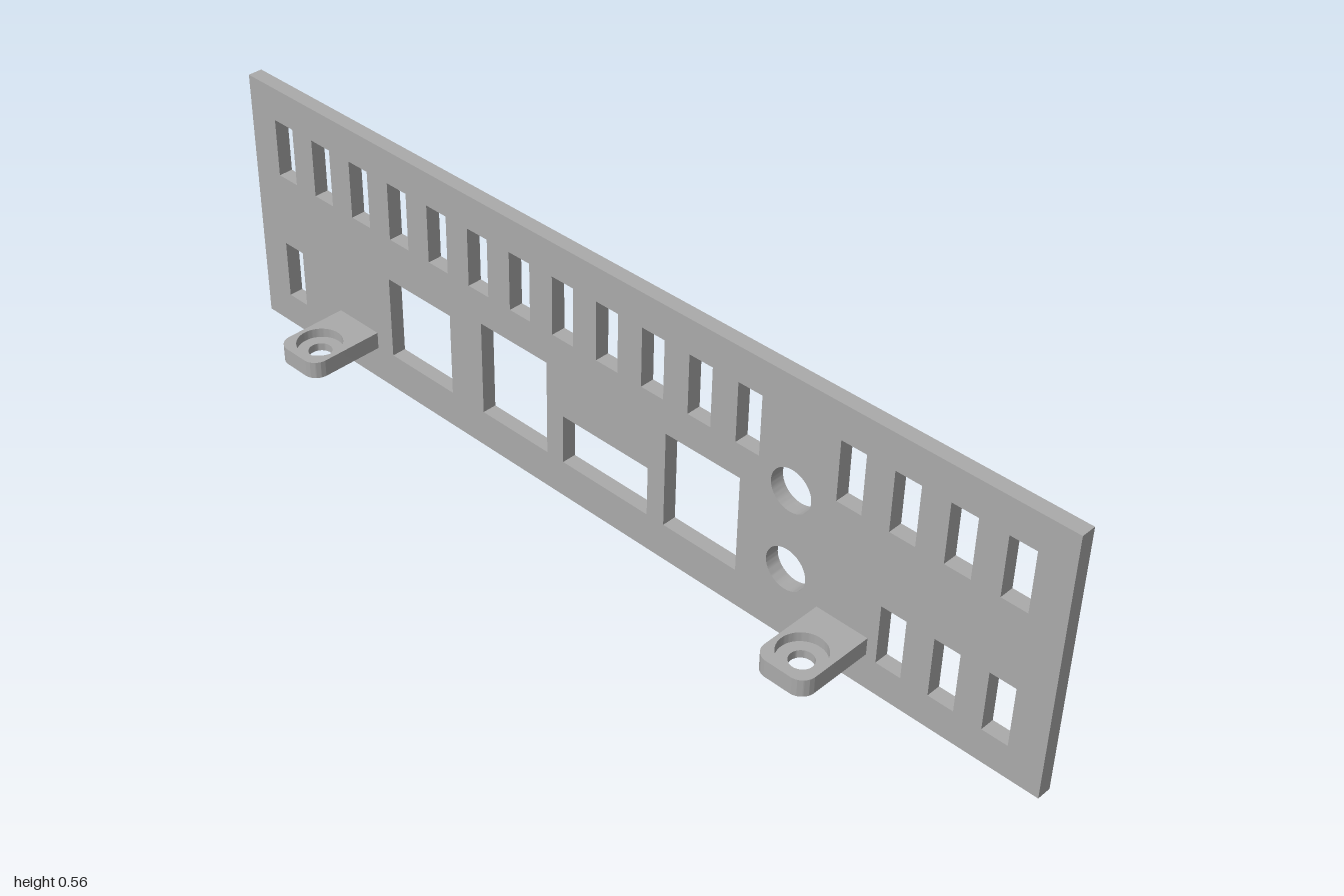
import * as THREE from 'three';
import { toCreasedNormals } from 'three/addons/utils/BufferGeometryUtils.js';

const HEIGHT = 0.56, BACK = -0.097, FRONT = -0.066;
const TAB_BOTTOM = 0.075, TAB_TOP = 0.112, TAB_STEP = 0.092;

function rectPath(x0, y0, x1, y1) {
  return new THREE.Path().moveTo(x0, y0).lineTo(x0, y1).lineTo(x1, y1).lineTo(x1, y0).closePath();
}

function circlePath(x, y, r) {
  return new THREE.Path().absarc(x, y, r, 0, Math.PI * 2, true);
}

function extrude(shape, depth) {
  const g = new THREE.ExtrudeGeometry(shape, { depth, bevelEnabled: false, curveSegments: 32 });
  return toCreasedNormals(g, 0.5);
}

export function createModel() {
  const model = new THREE.Group();
  model.name = 'portPanel';
  const grey = new THREE.MeshStandardMaterial({ color: 0xaaaaaa });
  grey.name = 'plain grey';

  // Upright plate with all its cut-outs
  const plate = new THREE.Shape().moveTo(-1, 0).lineTo(1, 0).lineTo(1, HEIGHT).lineTo(-1, HEIGHT).closePath();

  // Narrow slots on an even pitch: a nearly full top row, a sparse bottom row
  for (let i = 0; i < 17; i++) {
    const x = -0.9 + i * 0.1126;
    if (i !== 12) plate.holes.push(rectPath(x - 0.027, 0.36, x + 0.027, 0.487));
    if (i === 0 || i > 13) plate.holes.push(rectPath(x - 0.027, 0.07, x + 0.027, 0.198));
  }

  // Large connector openings: left, right, top
  for (const [x0, x1, top] of [
    [-0.6, -0.422, 0.263], [-0.333, -0.155, 0.289], [-0.112, 0.107, 0.188], [0.149, 0.326, 0.289],
  ]) plate.holes.push(rectPath(x0, 0.08, x1, top));

  // Round openings
  for (const y of [0.152, 0.326]) plate.holes.push(circlePath(0.44, y, 0.045));

  const panel = new THREE.Mesh(extrude(plate, FRONT - BACK), grey);
  panel.name = 'panel';
  panel.position.z = BACK;
  model.add(panel);

  // Mounting tabs with rounded front corners and counterbored screw holes
  const w = 0.057, end = 0.099, r = 0.03, holeZ = 0.037, bore = 0.047, hole = 0.024;
  const outline = new THREE.Shape().moveTo(-w, FRONT).lineTo(w, FRONT).lineTo(w, end - r)
    .absarc(w - r, end - r, r, 0, Math.PI / 2, false).lineTo(-w + r, end)
    .absarc(-w + r, end - r, r, Math.PI / 2, Math.PI, false).closePath();
  outline.holes.push(circlePath(0, holeZ, bore));
  const tabGeometry = extrude(outline, TAB_TOP - TAB_BOTTOM).rotateX(Math.PI / 2).translate(0, TAB_TOP, 0);

  // Ledge at the bottom of the counterbore
  const ledgeProfile = [[bore, TAB_STEP], [hole, TAB_STEP], [hole, TAB_BOTTOM], [bore, TAB_BOTTOM]]
    .map(([x, y]) => new THREE.Vector2(x, y));
  const ledgeGeometry = toCreasedNormals(new THREE.LatheGeometry(ledgeProfile, 64), 0.5);

  for (const [name, x] of [['rightTab', -0.703], ['leftTab', 0.571]]) {
    const tab = new THREE.Group();
    tab.name = name;
    const body = new THREE.Mesh(tabGeometry, grey);
    body.name = 'tabBody';
    const ledge = new THREE.Mesh(ledgeGeometry, grey);
    ledge.name = 'screwLedge';
    ledge.position.z = holeZ;
    tab.add(body, ledge);
    tab.position.x = x;
    model.add(tab);
  }
  return model;
}
